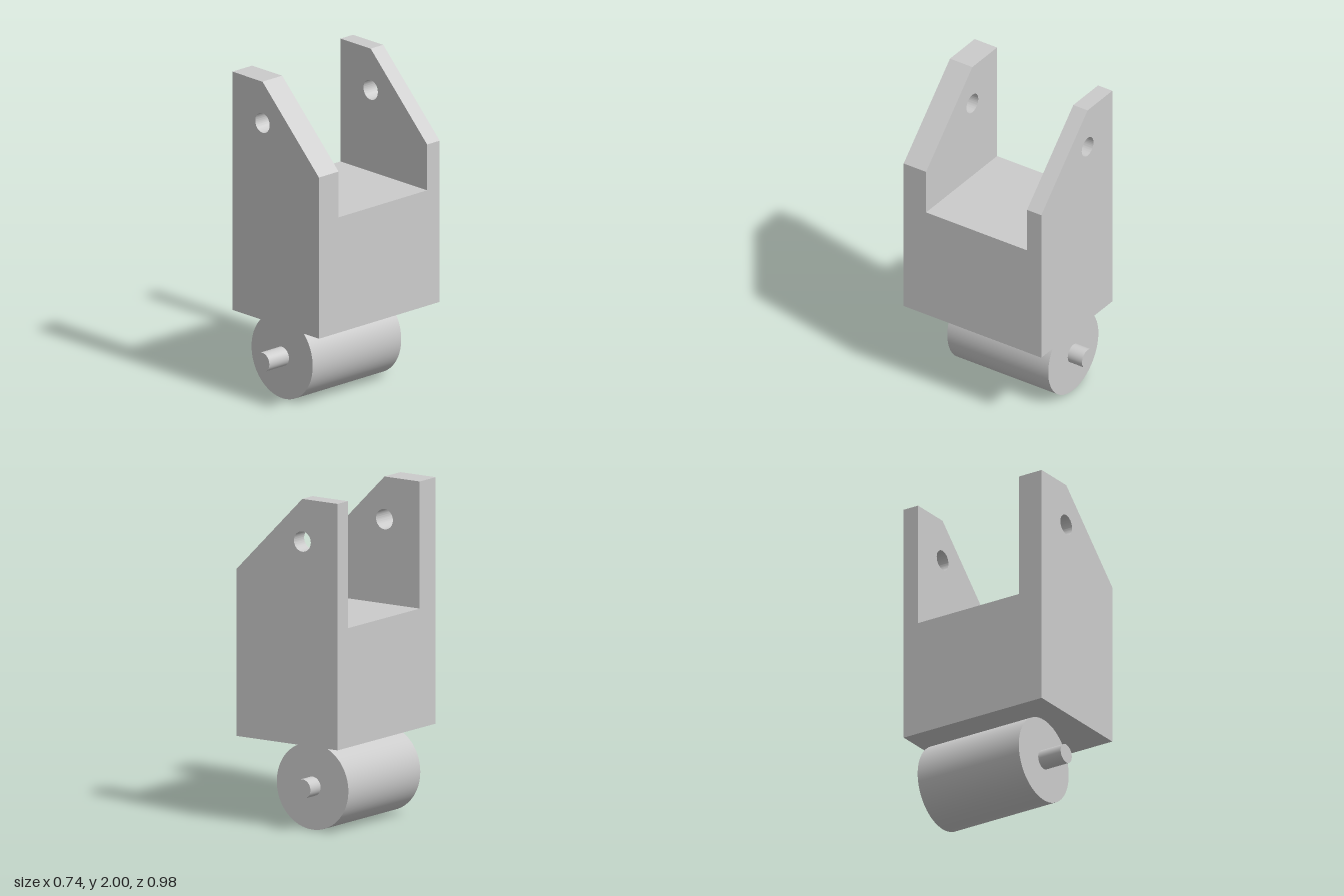
import * as THREE from 'three';
import { toCreasedNormals } from 'three/addons/utils/BufferGeometryUtils.js';

const HALF_WIDTH = 0.368, BASE_Y = 0.522, FLOOR_Y = 1.238;
const BACK = -0.491, FRONT = 0.491;       // outer faces of the cheeks
const SLOT_BACK = -0.389, SLOT_FRONT = 0.331; // inner faces of the cheeks
const PIN_X = -0.112, ROLLER_R = 0.26, AXLE_R = 0.058;

const material = new THREE.MeshStandardMaterial({ color: 0xcccccc });

function addMesh(group, name, geometry) {
  const mesh = new THREE.Mesh(geometry, material);
  mesh.name = name;
  group.add(mesh);
  return mesh;
}

// Side plate with a sloped corner and a round pin hole
function cheekGeometry(z0, z1) {
  const shape = new THREE.Shape([
    new THREE.Vector2(-HALF_WIDTH, BASE_Y),
    new THREE.Vector2(HALF_WIDTH, BASE_Y),
    new THREE.Vector2(HALF_WIDTH, 1.522),
    new THREE.Vector2(PIN_X, 2),
    new THREE.Vector2(-HALF_WIDTH, 2),
  ]);
  shape.holes.push(new THREE.Path().absarc(PIN_X, 1.744, 0.061, 0, Math.PI * 2, true));
  const geometry = new THREE.ExtrudeGeometry(shape, { depth: z1 - z0, bevelEnabled: false, curveSegments: 48 });
  geometry.translate(0, 0, z0);
  return toCreasedNormals(geometry, 0.5);
}

// Cylinder lying along z
function rodGeometry(radius, z0, z1) {
  return new THREE.CylinderGeometry(radius, radius, z1 - z0, 64)
    .rotateX(Math.PI / 2)
    .translate(PIN_X, ROLLER_R, (z0 + z1) / 2);
}

export function createModel() {
  const model = new THREE.Group();
  model.name = 'rollerBracket';

  // Forked body: two cheeks joined by a solid block
  const body = new THREE.Group();
  body.name = 'forkBody';
  addMesh(body, 'frontCheek', cheekGeometry(SLOT_FRONT, FRONT));
  addMesh(body, 'backCheek', cheekGeometry(BACK, SLOT_BACK));
  addMesh(body, 'centreBlock',
    new THREE.BoxGeometry(HALF_WIDTH * 2, FLOOR_Y - BASE_Y, SLOT_FRONT - SLOT_BACK)
      .translate(0, (FLOOR_Y + BASE_Y) / 2, (SLOT_FRONT + SLOT_BACK) / 2));
  model.add(body);

  // Roller touching the underside, with its axle showing at both ends
  addMesh(model, 'roller', rodGeometry(ROLLER_R, SLOT_BACK, SLOT_FRONT));
  addMesh(model, 'axle', rodGeometry(AXLE_R, BACK, FRONT));

  return model;
}
